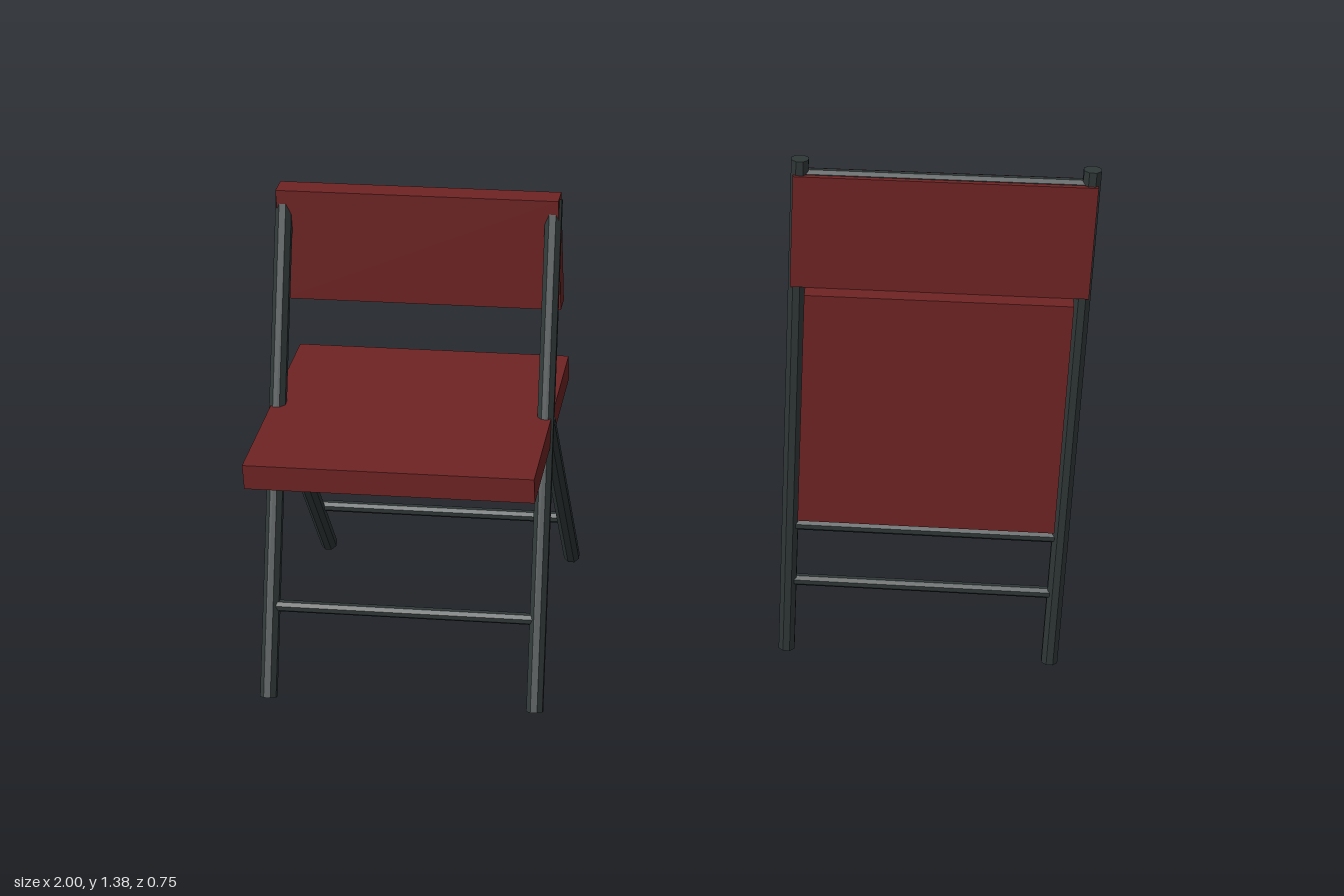
import * as THREE from 'three';

export function createModel() {
  const red = new THREE.MeshStandardMaterial({ color: 0x6f2424 });
  red.name = 'dark red panel';
  const steel = new THREE.MeshStandardMaterial({ color: 0x2f3737, flatShading: true });
  steel.name = 'dark grey tube';

  // Flat panel given by its minimum and maximum corners
  function panel(parent, name, min, max) {
    const size = max.map((v, i) => v - min[i]);
    const mesh = new THREE.Mesh(new THREE.BoxGeometry(...size), red);
    mesh.position.set(...min.map((v, i) => (v + max[i]) / 2));
    mesh.name = name;
    parent.add(mesh);
  }

  // Eight-sided tube between two points
  function tube(parent, name, from, to, radius) {
    const a = new THREE.Vector3(...from), b = new THREE.Vector3(...to);
    const dir = b.clone().sub(a);
    const geo = new THREE.CylinderGeometry(radius, radius, dir.length(), 8);
    geo.rotateY(Math.PI / 8);
    const mesh = new THREE.Mesh(geo, steel);
    mesh.position.copy(a).add(b).multiplyScalar(0.5);
    mesh.quaternion.setFromUnitVectors(new THREE.Vector3(0, 1, 0), dir.normalize());
    mesh.name = name;
    parent.add(mesh);
  }

  const half = 0.337;   // half the distance between the side tubes
  const legR = 0.022, barR = 0.015;
  const bar = (parent, name, y, z) => tube(parent, name, [-half, y, z], [half, y, z], barR);

  // Open chair
  const open = new THREE.Group();
  open.name = 'openChair';
  open.position.x = -0.644;
  panel(open, 'seat', [-0.352, 0.615, -0.275], [0.352, 0.68, 0.35]);
  panel(open, 'backrest', [-0.352, 0.873, -0.213], [0.352, 1.17, -0.157]);
  for (const [side, s] of [['left', 1], ['right', -1]]) {
    const x = s * half;
    tube(open, side + 'FrontLeg', [x, 0.013, 0.36], [x, 1.16, -0.192], legR);
    tube(open, side + 'BackLeg', [x, 0.016, -0.358], [x, 0.66, 0.027], legR);
  }
  bar(open, 'frontCrossbar', 0.222, 0.26);
  bar(open, 'backCrossbar', 0.193, -0.269);

  // Folded chair
  const folded = new THREE.Group();
  folded.name = 'foldedChair';
  folded.position.x = 0.639;
  panel(folded, 'foldedSeat', [-0.316, 0.44, 0.02], [0.316, 1.065, 0.086]);
  panel(folded, 'foldedBackrest', [-0.352, 1.065, -0.013], [0.352, 1.35, 0.043]);
  for (const [side, s] of [['left', 1], ['right', -1]]) {
    tube(folded, side + 'Post', [s * half, 0.013, 0.016], [s * half, 1.385, 0.016], legR);
  }
  bar(folded, 'lowerCrossbar', 0.222, 0.016);
  bar(folded, 'upperCrossbar', 0.388, 0.016);
  bar(folded, 'topCrossbar', 1.346, 0.016);

  const model = new THREE.Group();
  model.name = 'foldingChairs';
  model.add(open, folded);
  return model;
}
